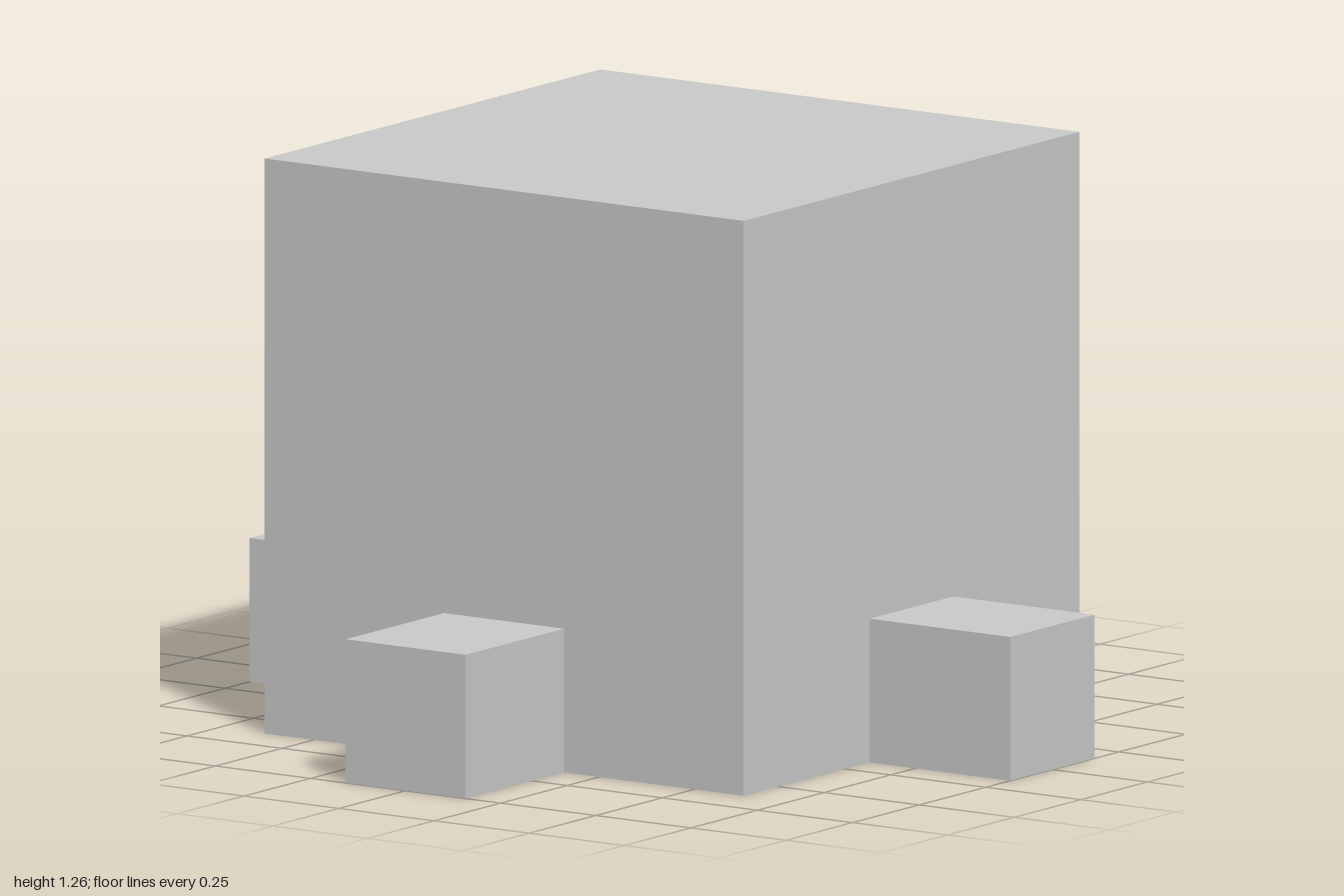
import * as THREE from 'three';

const BODY = 1.26; // edge of the main cube
const STUB = 0.315; // width and height of each side block
const REACH = 1; // distance from centre to the end of a side block

export function createModel() {
  const model = new THREE.Group();
  const material = new THREE.MeshStandardMaterial({ color: 0xcccccc, flatShading: true });

  // Main cube, standing on the ground
  const body = new THREE.Mesh(new THREE.BoxGeometry(BODY, BODY, BODY), material);
  body.name = 'body';
  body.position.y = BODY / 2;
  model.add(body);

  // One block at the foot of each side face
  const length = REACH - BODY / 2;
  const geometry = new THREE.BoxGeometry(STUB, STUB, length);
  geometry.translate(0, STUB / 2, BODY / 2 + length / 2);
  ['front', 'left', 'back', 'right'].forEach((side, i) => {
    const block = new THREE.Mesh(geometry, material);
    block.name = `${side}Block`;
    block.rotation.y = (i * Math.PI) / 2;
    model.add(block);
  });

  return model;
}
